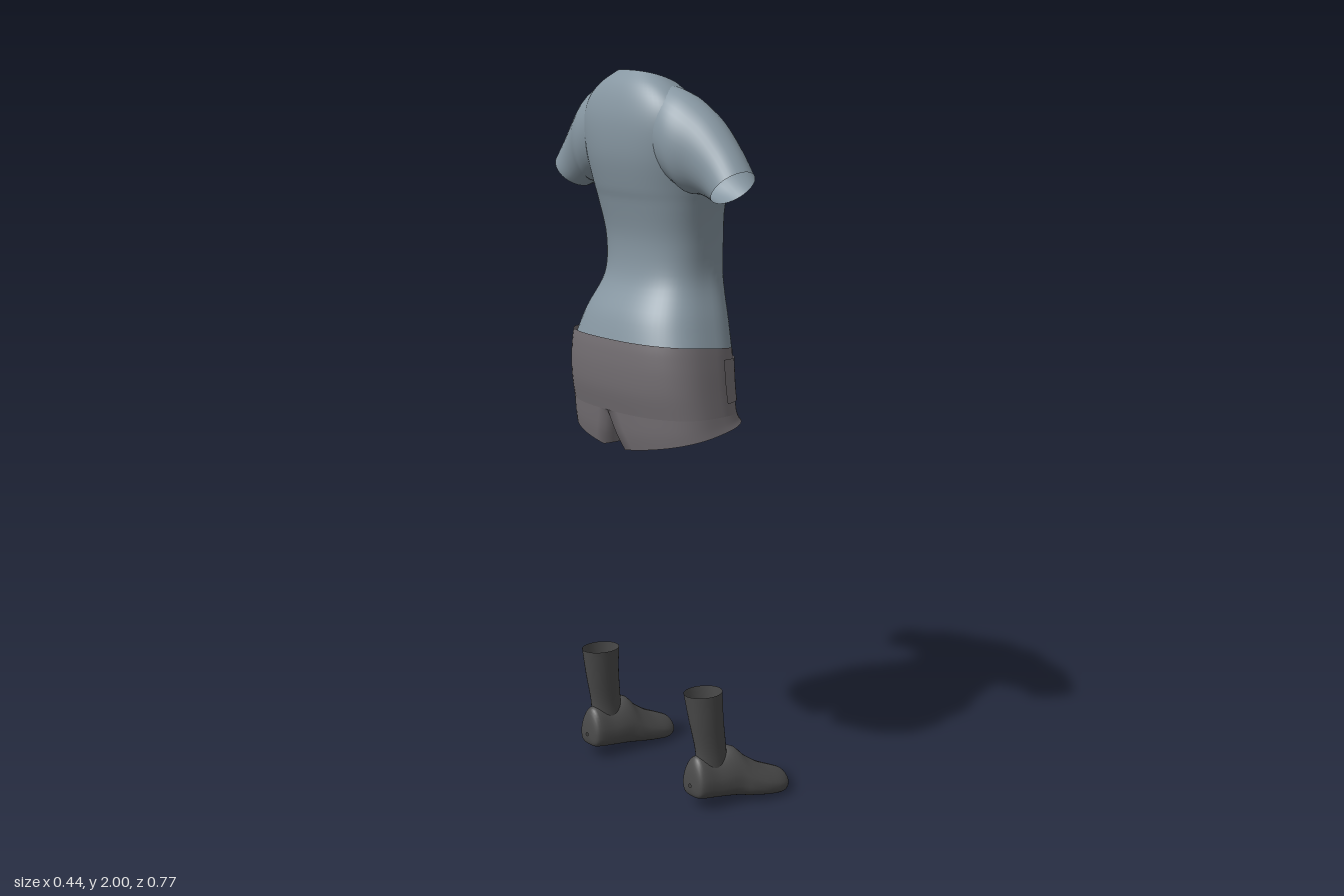
import * as THREE from 'three';

const mat = (name, color) =>
  new THREE.MeshStandardMaterial({ name, color, side: THREE.DoubleSide });

// Smoothly resample a short list of section rows
function smooth(rows, steps) {
  const out = [], last = rows.length - 1;
  for (let i = 0; i <= last * steps; i++) {
    const k = Math.min(Math.floor(i / steps), last - 1), t = i / steps - k;
    const [a, b, c, d] = [k - 1, k, k + 1, k + 2].map(n => rows[Math.max(0, Math.min(last, n))]);
    out.push(b.map((p, j) => p + 0.5 * t * (c[j] - a[j] +
      t * (2 * a[j] - 5 * p + 4 * c[j] - d[j] + t * (3 * (p - c[j]) + d[j] - a[j])))));
  }
  return out;
}

// Skin a list of rings, each a list of [x, y, z]
function loft(name, rings, material, { closed = true, flip = false } = {}) {
  const n = rings[0].length, index = [];
  for (let i = 0; i < rings.length - 1; i++) {
    for (let j = 0; j < (closed ? n : n - 1); j++) {
      const a = i * n + j, b = i * n + (j + 1) % n, c = a + n, d = b + n;
      if (flip) index.push(a, b, c, b, d, c);
      else index.push(a, c, b, b, c, d);
    }
  }
  const g = new THREE.BufferGeometry();
  g.setAttribute('position', new THREE.Float32BufferAttribute(rings.flat(2), 3));
  g.setIndex(index);
  g.computeVertexNormals();
  const mesh = new THREE.Mesh(g, material);
  mesh.name = name;
  return mesh;
}

const pow = (v, e) => Math.sign(v) * Math.abs(v) ** e;
const angles = (n, from = 0, to = Math.PI * 2) =>
  Array.from({ length: n }, (_, i) => from + (to - from) * i / n);

// Point on a body section: rounded box outline, tilted front to back
function bodyPoint([yB, yF, xB, xF, hz, bump = 0], t, grow = 1) {
  const c = Math.cos(t), s = Math.sin(t), xc = (xB + xF) / 2, rx = (xF - xB) / 2;
  const e = c > 0 ? 0.68 : 0.82;
  const px = pow(c, e), z = hz * pow(s, e);
  const y = yF + (yB - yF) * Math.max(0, (1 - px) / 2) ** 0.6;
  const swell = c > 0 ? bump * Math.exp(-(((Math.abs(z) - 0.135) / 0.05) ** 2)) : 0;
  return [xc + rx * px * grow + swell, y, z * grow];
}

export function createModel() {
  const model = new THREE.Group();
  const shirt = mat('shirtBlueGrey', 0x8797a2);
  const shorts = mat('shortsGrey', 0x757074);
  const dark = mat('shoeCharcoal', 0x4b4b4b);

  // Shirt body, hem to neckline: yBack, yFront, xBack, xFront, halfWidth, bust
  const torso = smooth([
    [1.285, 1.235, -0.208, 0.112, 0.243, 0],
    [1.36, 1.33, -0.185, 0.116, 0.213, 0],
    [1.45, 1.45, -0.138, 0.116, 0.176, 0],
    [1.55, 1.55, -0.13, 0.114, 0.176, 0],
    [1.65, 1.65, -0.15, 0.11, 0.19, 0.004],
    [1.7, 1.7, -0.165, 0.128, 0.2, 0.028],
    [1.78, 1.77, -0.182, 0.09, 0.205, 0.012],
    [1.86, 1.84, -0.185, 0.052, 0.205, 0],
    [1.92, 1.885, -0.175, 0.032, 0.188, 0],
    [1.967, 1.915, -0.155, 0.018, 0.145, 0],
    [2.0, 1.935, -0.125, 0.01, 0.09, 0],
  ], 5);
  model.add(loft('shirtBody', torso.map(r => angles(64).map(t => bodyPoint(r, t))), shirt));

  // Shorts from hip to waistband
  const hip = [1.1, 1.1, -0.198, 0.107, 0.268];
  const pelvis = smooth([
    hip,
    [1.16, 1.16, -0.212, 0.104, 0.262],
    [1.22, 1.21, -0.218, 0.105, 0.256],
    [1.27, 1.245, -0.218, 0.107, 0.25],
    [1.3, 1.26, -0.215, 0.108, 0.246],
  ], 5);
  model.add(loft('shortsHips', pelvis.map(r => angles(64).map(t => bodyPoint(r, t))), shorts));

  // Leg rows: body section, then inner z, inner corner rounding, sideways hem tilt
  const legRows = smooth([
    [1.01, 1.08, -0.176, 0.11, 0.276, 0.018, 0.03, 0.16],
    [1.05, 1.088, -0.188, 0.109, 0.272, 0.012, 0.012, 0.08],
    [...hip, 0, 0, 0],
  ], 4);

  const sleeveRows = smooth([ // zTop, yTop, zBottom, yBottom, xCentre, halfDepth
    [0.1, 1.968, 0.12, 1.73, -0.08, 0.075],
    [0.16, 1.954, 0.18, 1.705, -0.075, 0.085],
    [0.21, 1.932, 0.205, 1.69, -0.068, 0.086],
    [0.275, 1.884, 0.235, 1.688, -0.056, 0.076],
    [0.34, 1.815, 0.265, 1.68, -0.05, 0.067],
    [0.386, 1.757, 0.296, 1.67, -0.05, 0.063],
  ], 5);

  const shoeRows = smooth([ // x, yBottom, yTop, zCentre, halfWidth
    [-0.103, 0.065, 0.075, 0.24, 0.005],
    [-0.098, 0.04, 0.12, 0.24, 0.035],
    [-0.08, 0.032, 0.15, 0.24, 0.047],
    [-0.03, 0.026, 0.142, 0.242, 0.052],
    [0.03, 0.018, 0.158, 0.247, 0.059],
    [0.07, 0.012, 0.125, 0.253, 0.069],
    [0.12, 0.006, 0.092, 0.258, 0.075],
    [0.17, 0.001, 0.069, 0.26, 0.068],
    [0.205, 0.008, 0.052, 0.26, 0.043],
    [0.217, 0.026, 0.032, 0.26, 0.004],
  ], 4);

  const sockRows = smooth([ // y, xBack, xFront, zCentre, halfWidth
    [0.1, -0.08, 0.02, 0.243, 0.035],
    [0.16, -0.08, 0.016, 0.243, 0.034],
    [0.25, -0.098, 0.006, 0.24, 0.041],
    [0.33, -0.112, 0.003, 0.236, 0.047],
  ], 4);

  for (const side of [1, -1]) {
    const tag = side > 0 ? 'Left' : 'Right'; // +z and -z halves
    const flip = side < 0;

    // Short sleeve
    model.add(loft('sleeve' + tag, sleeveRows.map(([zt, yt, zb, yb, xc, hx]) =>
      angles(36).map(t => {
        const k = (1 + Math.cos(t)) / 2;
        return [xc + hx * Math.sin(t), yb + (yt - yb) * k, side * (zb + (zt - zb) * k)];
      })), shirt, { flip }));

    // Shorts leg: outer half follows the hip, inner wall runs back to front
    model.add(loft('shortsLeg' + tag, legRows.map(r => {
      const [yB, yF, xB, xF, hz, zi, round, tilt] = r, section = r.slice(0, 5);
      const base = zi + round;
      const ring = [...angles(32, 0, Math.PI), Math.PI].map(t => {
        const [x, y, z] = bodyPoint(section, t);
        return [x, y, base + z * (hz - base) / hz];
      });
      for (let i = 1; i < 12; i++) {
        const u = i / 6 - 1, x = xB + (xF - xB) * i / 12;
        ring.push([x, yF + (yB - yF) * (1 - i / 12) ** 0.6, zi + round * u * u]);
      }
      return ring.map(([x, y, z]) => [x, y + tilt * (z - 0.15), side * z]);
    }), shorts, { flip }));

    // Side pocket patch
    model.add(loft('pocket' + tag, pelvis.slice(3, 15).map(r =>
      angles(13, 0.5, 1.45).map(t => {
        const [x, y, z] = bodyPoint(r, t, 1.02);
        return [x, y, side * z];
      })), shorts, { closed: false, flip }));

    // Shoe, narrower towards the top and flat below
    model.add(loft('shoe' + tag, shoeRows.map(([x, yb, yt, zc, hz]) =>
      angles(36).map(t => {
        const c = Math.cos(t), e = c < 0 ? 0.6 : 0.95;
        const z = hz * pow(Math.sin(t), e) * (1 - 0.22 * Math.max(0, c));
        const ym = yb + (yt - yb) * 0.4;
        return [x, c > 0 ? ym + (yt - ym) * pow(c, e) : ym + (ym - yb) * pow(c, e), side * (zc + z)];
      })), dark, { flip: !flip }));

    // Sock
    model.add(loft('sock' + tag, sockRows.map(([y, xB, xF, zc, hz]) =>
      angles(28).map(t => [(xB + xF) / 2 + (xF - xB) / 2 * Math.cos(t), y, side * (zc + hz * Math.sin(t))])),
      dark, { flip }));
  }
  return model;
}
